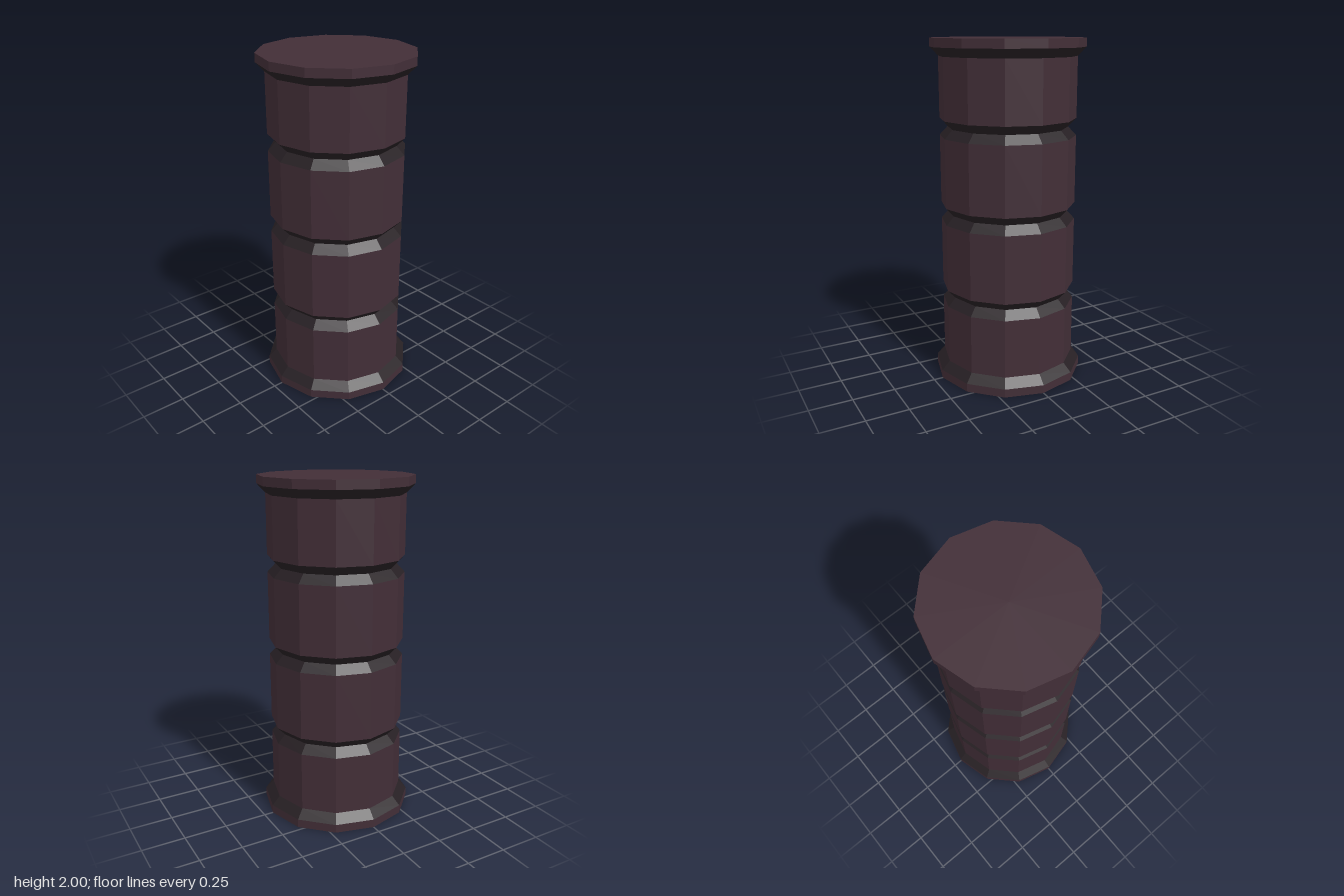
import * as THREE from 'three';

const SIDES = 12;
const BODY = 0.397, RIM = 0.445, GROOVE = 0.35, BEVEL = 0.05;

const material = (color) =>
  new THREE.MeshStandardMaterial({ color, flatShading: true, side: THREE.DoubleSide });

export function createModel() {
  const group = new THREE.Group();
  const shellMaterial = material(0x422e37);
  const grooveMaterial = material(0x272024);

  // Open faceted band through [radius, height] points, listed bottom to top
  const band = (name, mat, points) => {
    const profile = points.map(([r, y]) => new THREE.Vector2(r, y));
    const mesh = new THREE.Mesh(new THREE.LatheGeometry(profile, SIDES), mat);
    mesh.name = name;
    group.add(mesh);
  };

  // Flared foot, open underneath
  band('bottomRim', shellMaterial, [[RIM, 0], [RIM, BEVEL]]);
  band('bottomBevel', grooveMaterial, [[RIM, BEVEL], [BODY, 2 * BEVEL]]);

  // Four drum sections separated by V-shaped grooves
  for (let i = 0; i < 4; i++) {
    const low = i === 0 ? 2 * BEVEL : i * 0.5 + BEVEL;
    const high = i === 3 ? 2 - 2 * BEVEL : (i + 1) * 0.5 - BEVEL;
    band('drumSection' + (i + 1), shellMaterial, [[BODY, low], [BODY, high]]);
    if (i < 3) {
      band('groove' + (i + 1), grooveMaterial,
        [[BODY, high], [GROOVE, high + BEVEL], [BODY, high + 2 * BEVEL]]);
    }
  }

  // Flared head with a flat lid
  band('topBevel', grooveMaterial, [[BODY, 2 - 2 * BEVEL], [RIM, 2 - BEVEL]]);
  band('topRim', shellMaterial, [[RIM, 2 - BEVEL], [RIM, 2]]);
  const lid = new THREE.Mesh(new THREE.CircleGeometry(RIM, SIDES), shellMaterial);
  lid.name = 'topLid';
  lid.rotation.x = -Math.PI / 2;
  lid.position.y = 2;
  group.add(lid);

  return group;
}
